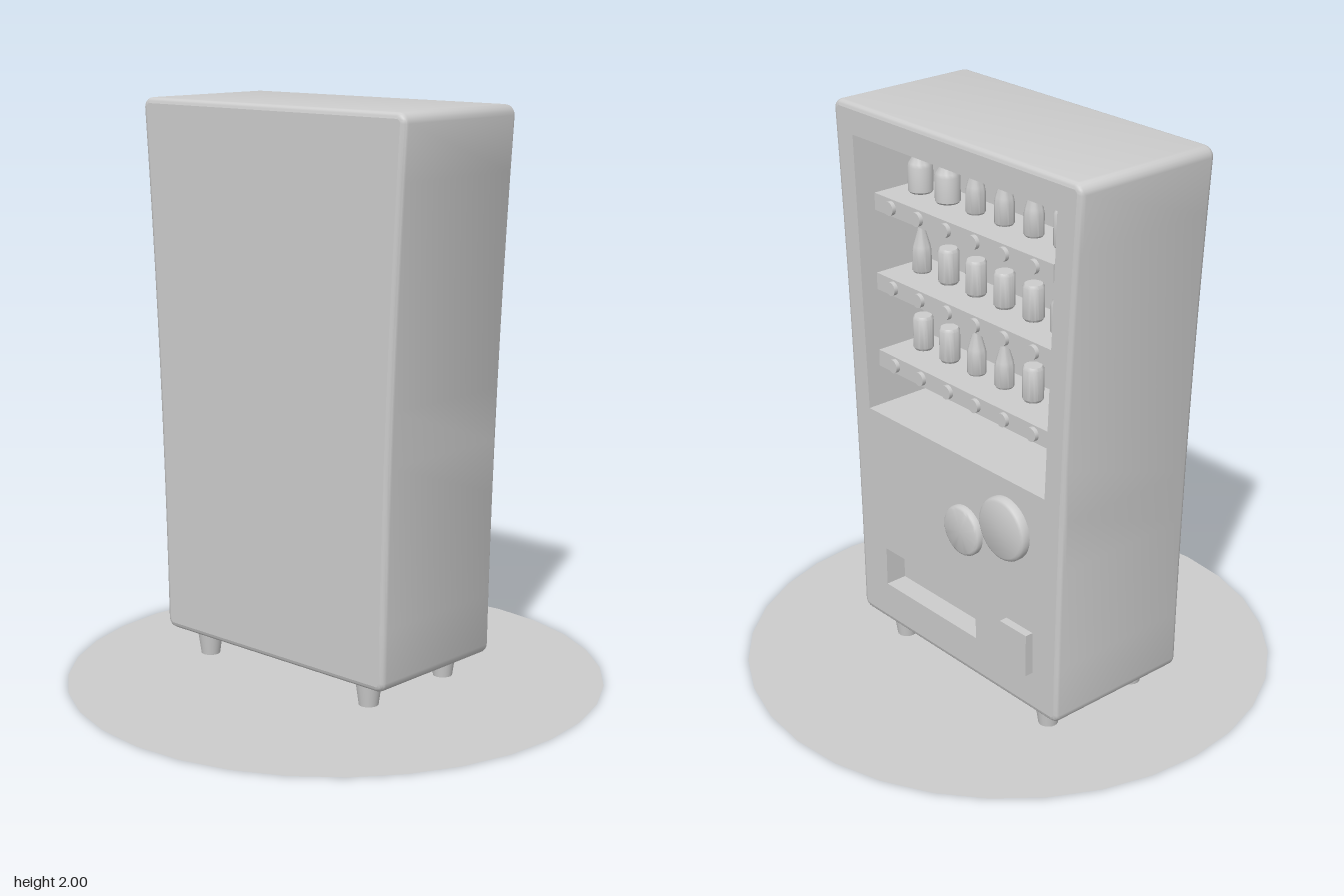
import * as THREE from 'three';
import { toCreasedNormals } from 'three/addons/utils/BufferGeometryUtils.js';

const BOTTOM = 0.09, TOP = 2, FRONT = 0.32, BACK = -0.245;

// Half width of the cabinet, flaring gently towards the top
const halfWidth = (y) => {
  const t = (y - BOTTOM) / (TOP - BOTTOM);
  return 0.522 + 0.025 * t + 0.056 * t * t;
};

// Rounded cabinet outline, counterclockwise from the bottom, shrunk by an inset
function outline(inset) {
  const r = 0.035 - inset, y0 = BOTTOM + inset + r, y1 = TOP - inset - r;
  const side = [];
  const corner = (y, from) => {
    for (let i = 0; i <= 5; i++) {
      const a = from + (i / 5) * Math.PI / 2;
      side.push(new THREE.Vector2(halfWidth(y) - inset - r + r * Math.cos(a), y + r * Math.sin(a)));
    }
  };
  corner(y0, -Math.PI / 2);
  for (let i = 1; i < 10; i++) {
    const y = y0 + (y1 - y0) * i / 10;
    side.push(new THREE.Vector2(halfWidth(y) - inset, y));
  }
  corner(y1, 0);
  return [...side, ...side.map((p) => new THREE.Vector2(-p.x, p.y)).reverse()];
}

// Skin stretched over closed rings of { points, z }
function skin(rings) {
  const n = rings[0].points.length, pos = [], index = [];
  for (const { points, z } of rings) for (const p of points) pos.push(p.x, p.y, z);
  for (let k = 0; k < rings.length - 1; k++) {
    for (let i = 0; i < n; i++) {
      const a = k * n + i, b = k * n + (i + 1) % n;
      index.push(a, b, b + n, a, b + n, a + n);
    }
  }
  const g = new THREE.BufferGeometry();
  g.setAttribute('position', new THREE.Float32BufferAttribute(pos, 3));
  g.setIndex(index);
  return toCreasedNormals(g, 0.7);
}

const quad = (bottomHalf, topHalf, y0, y1, cx = 0) => [
  new THREE.Vector2(cx - bottomHalf, y0), new THREE.Vector2(cx + bottomHalf, y0),
  new THREE.Vector2(cx + topHalf, y1), new THREE.Vector2(cx - topHalf, y1),
];

const lathe = (points, sides = 24) => toCreasedNormals(
  new THREE.LatheGeometry(points.map(([x, y]) => new THREE.Vector2(x, y)), sides), 0.6);

export function createModel() {
  const grey = new THREE.MeshStandardMaterial({ color: 0xcccccc, side: THREE.DoubleSide });
  grey.name = 'light grey';
  const model = new THREE.Group();
  model.name = 'vendingMachine';

  // The cabinet is built facing +z, then turned to face +x
  const cabinet = new THREE.Group();
  cabinet.name = 'cabinet';
  cabinet.rotation.y = Math.PI / 2;
  cabinet.position.z = -0.085;
  model.add(cabinet);
  const add = (name, geometry, x = 0, y = 0, z = 0) => {
    const mesh = new THREE.Mesh(geometry, grey);
    mesh.name = name;
    mesh.position.set(x, y, z);
    cabinet.add(mesh);
    return mesh;
  };

  // Round base plate
  const base = new THREE.Mesh(new THREE.CircleGeometry(0.943, 32).rotateX(-Math.PI / 2), grey);
  base.name = 'floorDisc';
  model.add(base);

  // Shell with softened front and back edges
  const bevel = 0.02, rings = [];
  for (let i = 0; i <= 4; i++) {
    const a = i / 4 * Math.PI / 2;
    rings.push({ points: outline(bevel * (1 - Math.sin(a))), z: BACK + bevel * (1 - Math.cos(a)) });
  }
  for (let i = 4; i >= 0; i--) {
    const a = i / 4 * Math.PI / 2;
    rings.push({ points: outline(bevel * (1 - Math.sin(a))), z: FRONT - bevel * (1 - Math.cos(a)) });
  }
  add('shell', skin(rings));
  add('backPanel', new THREE.ShapeGeometry(new THREE.Shape(outline(bevel))).rotateY(Math.PI), 0, 0, BACK);

  // Front panel with the display window and the delivery slot cut out
  const front = new THREE.Shape(outline(bevel));
  const recesses = [
    ['displayWindow', quad(0.4525, 0.4975, 0.915, 1.895), 0.26],
    ['deliverySlot', quad(0.245, 0.245, 0.24, 0.385, -0.135), 0.08],
  ];
  for (const [name, points, depth] of recesses) {
    front.holes.push(new THREE.Path(points));
    add(name + 'Walls', skin([{ points, z: FRONT }, { points, z: FRONT - depth }]));
    add(name + 'Back', new THREE.ShapeGeometry(new THREE.Shape(points)), 0, 0, FRONT - depth);
  }
  add('frontPanel', new THREE.ShapeGeometry(front), 0, 0, FRONT);

  // Drinks: wide bottle, tall bottle, can
  const drinks = {
    W: lathe([[0, 0], [0.038, 0], [0.043, 0.006], [0.043, 0.09], [0.039, 0.102], [0.019, 0.135], [0.019, 0.16], [0, 0.16]]),
    T: lathe([[0, 0], [0.029, 0], [0.033, 0.006], [0.033, 0.075], [0.03, 0.092], [0.013, 0.15], [0.011, 0.185], [0, 0.185]]),
    C: lathe([[0, 0], [0.03, 0], [0.036, 0.009], [0.036, 0.114], [0.03, 0.124], [0, 0.124]]),
  };
  const names = { W: 'wideBottle', T: 'tallBottle', C: 'can' };

  // Shelves with a button below every drink
  const button = new THREE.CylinderGeometry(0.024, 0.024, 0.02, 20).rotateX(Math.PI / 2);
  const shelf = new THREE.BoxGeometry(0.88, 0.06, 0.22);
  ['WWTTTC', 'TCCCCW', 'CCTTCC'].forEach((row, r) => {
    const top = 1.7 - 0.285 * r;
    add('shelf', shelf, 0, top - 0.03, 0.17);
    [...row].forEach((kind, i) => {
      const x = -0.35 + 0.141 * i;
      add(names[kind], drinks[kind], x, top, 0.155);
      add('button', button, x, top - 0.03, 0.285);
    });
  });

  // Domed round badges
  for (const [x, y, r, h] of [[0.272, 0.74, 0.112, 0.032], [0.06, 0.645, 0.09, 0.024]]) {
    const disc = lathe([[r, 0], [r, h * 0.6], [r * 0.96, h * 0.85], [r * 0.88, h], [0, h]], 32);
    add('roundBadge', disc.rotateX(Math.PI / 2), x, y, FRONT);
  }

  // Coin box
  add('coinBox', new THREE.BoxGeometry(0.13, 0.155, 0.04), 0.335, 0.3175, 0.33);

  // Tapered feet
  const foot = new THREE.CylinderGeometry(0.048, 0.034, 0.1, 20);
  for (const x of [-0.385, 0.385]) for (const z of [-0.16, 0.232]) add('foot', foot, x, 0.05, z);

  return model;
}
